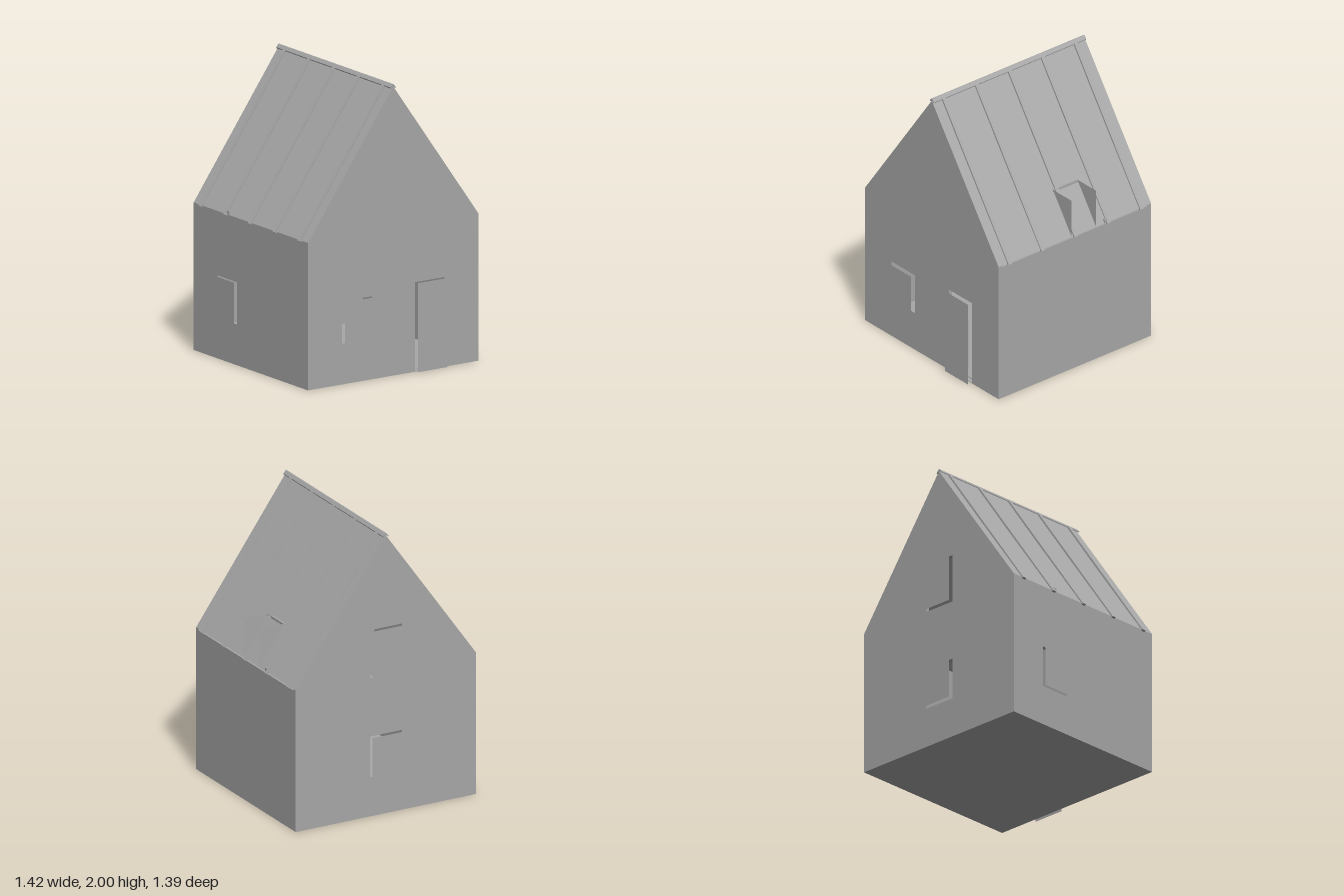
import * as THREE from 'three';

export function createModel() {
  const house = new THREE.Group();
  house.name = 'house';
  const grey = new THREE.MeshStandardMaterial({ color: 0xa8a8a8, side: THREE.DoubleSide });
  grey.name = 'plainGrey';

  const CX = 0.004, HALF = 0.692, EAVE = 1.012, APEX = 1.985, DEPTH = 0.662, T = 0.03;

  function add(name, geometry, x = 0, y = 0, z = 0) {
    const mesh = new THREE.Mesh(geometry, grey);
    mesh.name = name;
    mesh.position.set(x, y, z);
    house.add(mesh);
    return mesh;
  }
  function polygon(points) {
    return new THREE.Shape(points.map(([x, y]) => new THREE.Vector2(x, y)));
  }
  // Box given by its lower and upper corners
  function block(name, a, b) {
    return add(name, new THREE.BoxGeometry(b[0] - a[0], b[1] - a[1], b[2] - a[2]),
      (a[0] + b[0]) / 2, (a[1] + b[1]) / 2, (a[2] + b[2]) / 2);
  }
  // Wall of even thickness with rectangular openings [u0, v0, u1, v1]
  function wall(points, openings = []) {
    const shape = polygon(points);
    for (const [u0, v0, u1, v1] of openings) {
      shape.holes.push(new THREE.Path([[u0, v0], [u0, v1], [u1, v1], [u1, v0]]
        .map(([u, v]) => new THREE.Vector2(u, v))));
    }
    return new THREE.ExtrudeGeometry(shape, { depth: T, bevelEnabled: false });
  }
  // Thin leaf hanging in front of an opening
  function leaf(name, [u0, v0, u1, v1], x, z, turn = 0) {
    const mesh = add(name, new THREE.PlaneGeometry(u1 - u0, v1 - v0));
    mesh.rotation.y = turn;
    mesh.position.set(turn === -Math.PI / 2 ? x : (u0 + u1) / 2, (v0 + v1) / 2,
      turn === -Math.PI / 2 ? (u0 + u1) / 2 : z);
  }

  // Openings
  const door = [0.18, 0.004, 0.42, 0.615];
  const frontWindow = [-0.41, 0.28, -0.17, 0.57];
  const backUpper = [-0.12, 0.99, 0.125, 1.33];
  const backLower = [-0.12, 0.28, 0.125, 0.57];
  const sideWindow = [-0.385, 0.28, -0.16, 0.57];

  // Gable walls
  const gable = [[CX - HALF, 0], [CX + HALF, 0], [CX + HALF, EAVE], [CX, APEX], [CX - HALF, EAVE]];
  add('frontGableWall', wall(gable, [door, frontWindow]), 0, 0, DEPTH - T);
  add('backGableWall', wall(gable, [backUpper, backLower]), 0, 0, -DEPTH);

  // Side walls and floor
  const inner = DEPTH - T;
  block('leftWall', [CX + HALF - T, 0, -inner], [CX + HALF, EAVE - 0.01, inner]);
  const side = [[-inner, 0], [inner, 0], [inner, EAVE], [-inner, EAVE]];
  const rightWall = add('rightWall', wall(side, [sideWindow]), CX - HALF + T, 0, 0);
  rightWall.rotation.y = -Math.PI / 2;
  block('floor', [CX - HALF + T, 0, -inner], [CX + HALF - T, 0.01, inner]);

  // Folded roof slab
  const roofShape = polygon([[CX + HALF, EAVE], [CX, APEX], [CX - HALF, EAVE],
    [CX - HALF + T, EAVE], [CX, APEX - 0.042], [CX + HALF - T, EAVE]]);
  add('roof', new THREE.ExtrudeGeometry(roofShape, { depth: 2 * inner, bevelEnabled: false }), 0, 0, -inner);

  // Ridge cap
  const cap = polygon([[CX - 0.019, 1.972], [CX, APEX], [CX + 0.019, 1.972],
    [CX + 0.021, 1.979], [CX + 0.004, 2], [CX - 0.004, 2], [CX - 0.021, 1.979]]);
  add('ridgeCap', new THREE.ExtrudeGeometry(cap, { depth: 2 * DEPTH, bevelEnabled: false }), 0, 0, -DEPTH);

  // Raised roof seams on both slopes
  for (const s of [-1, 1]) {
    const seam = polygon([[CX + s * 0.014, 1.971], [CX + s * 0.02, 1.983],
      [CX + s * 0.706, 1.008], [CX + s * 0.694, 1.0]]);
    for (let i = -2; i <= 2; i++) {
      add('roofSeam', new THREE.ExtrudeGeometry(seam, { depth: 0.029, bevelEnabled: false }),
        0, 0, i * 0.286 - 0.0145);
    }
    // Small eave brackets
    const x = CX + s * 0.682;
    block('eaveBracket', [x - 0.01, 1.01, -0.278], [x + 0.01, 1.038, -0.255]);
  }

  // Open roof hatch: two thin cheeks and a hinge bar
  const cheek = polygon([[0.505, 1.288], [0.698, 1.288], [0.698, 1.012]]);
  for (const z of [0.03, -0.182]) add('hatchCheek', new THREE.ShapeGeometry(cheek), 0, 0, z);
  block('hatchBar', [0.495, 1.274, -0.182], [0.513, 1.29, 0.03]);

  // Window and door leaves
  const OUT = 0.696;
  leaf('frontWindowLeaf', frontWindow, 0, OUT);
  leaf('doorLeaf', door, 0, OUT);
  leaf('backUpperWindowLeaf', backUpper, 0, -OUT, Math.PI);
  leaf('backLowerWindowLeaf', backLower, 0, -OUT, Math.PI);
  leaf('sideWindowLeaf', sideWindow, -0.712, 0, -Math.PI / 2);

  // Door backing and handle
  block('doorPanel', [0.193, 0.13, 0.686], [0.412, 0.485, 0.695]);
  block('handleStem', [0.358, 0.32, 0.65], [0.366, 0.33, 0.687]);
  block('handleLever', [0.33, 0.32, 0.68], [0.37, 0.33, 0.687]);

  return house;
}
